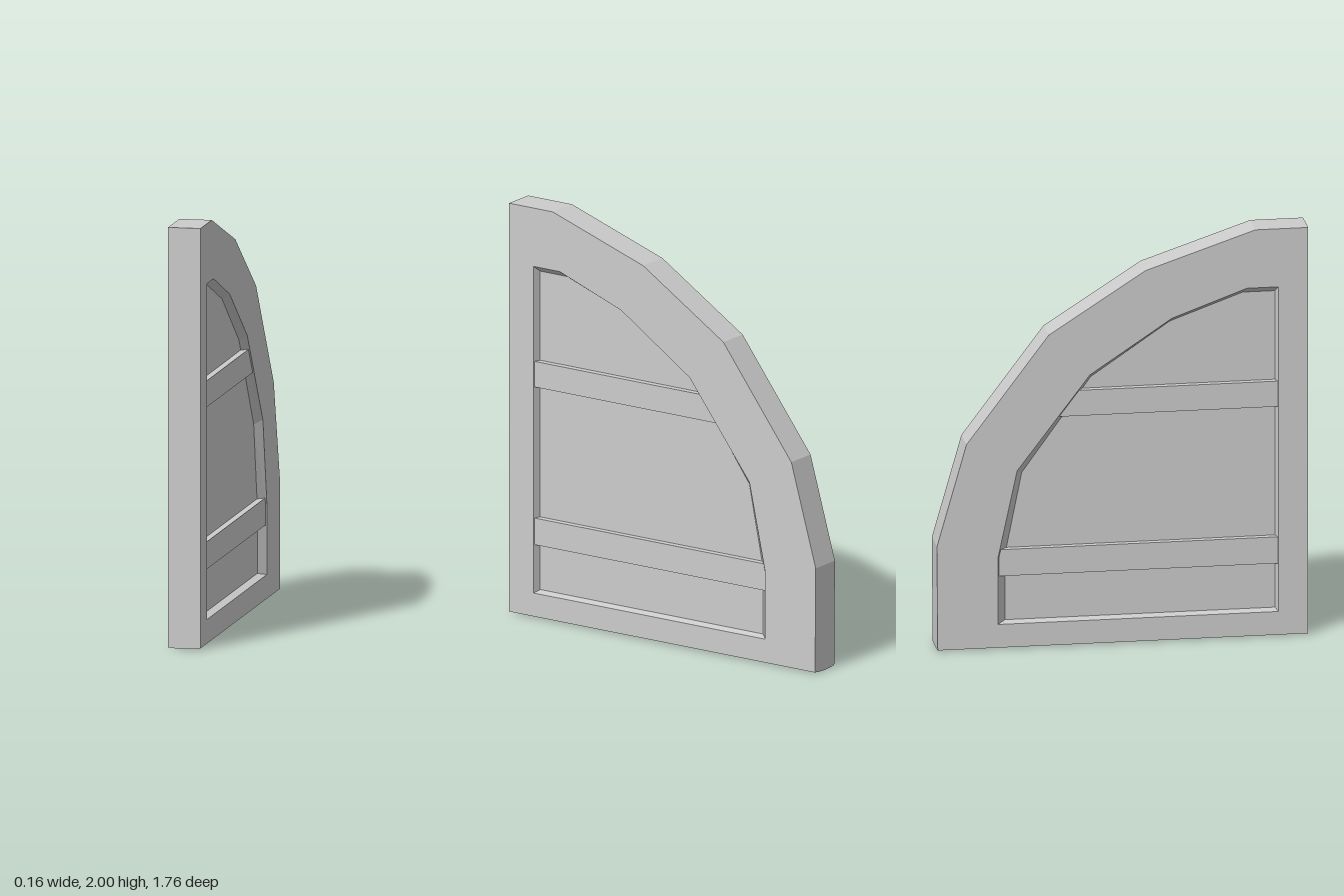
import * as THREE from 'three';

const HALF = 0.078;    // half thickness of the frame
const PANEL = 0.04;    // half thickness of the recessed panel
const STRAP = 0.072;   // half thickness of the cross battens

// Outlines as [z, y], starting at the bottom of the hinge side
const OUTER = [[0.88, 0.006], [0.88, 2], [0.63, 2], [0.11, 1.825], [-0.35, 1.53], [-0.74, 1.01], [-0.88, 0.515], [-0.876, 0.006]];
const OPENING = [[0.74, 0.12], [0.74, 1.715], [0.59, 1.715], [0.235, 1.585], [-0.155, 1.325], [-0.5, 0.87], [-0.59, 0.45], [-0.59, 0.12]];
const RECESS = [[0.728, 0.13], [0.728, 1.685], [0.575, 1.685], [0.23, 1.56], [-0.145, 1.305], [-0.472, 0.85], [-0.552, 0.45], [-0.552, 0.13]];

// Closed flat-shaded skin between successive rings of equal point count
function loft(rings) {
  const pos = [];
  for (let k = 0; k < rings.length - 1; k++) {
    const n = rings[k].length;
    for (let i = 0; i < n; i++) {
      const j = (i + 1) % n;
      const [a, b, c, d] = [rings[k][i], rings[k][j], rings[k + 1][j], rings[k + 1][i]];
      pos.push(...a, ...b, ...c, ...a, ...c, ...d);
    }
  }
  const g = new THREE.BufferGeometry();
  g.setAttribute('position', new THREE.Float32BufferAttribute(pos, 3));
  g.computeVertexNormals();
  return g;
}

export function createModel() {
  const group = new THREE.Group();
  const material = new THREE.MeshStandardMaterial({ color: 0xcccccc, flatShading: true });
  const add = (name, geometry) => {
    const mesh = new THREE.Mesh(geometry, material);
    mesh.name = name;
    group.add(mesh);
    return mesh;
  };
  const ring = (outline, x) => outline.map(([z, y]) => [x, y, z]);

  // Arched frame, with bevelled openings and a faintly bowed bottom edge
  const rim = [1, 0.5, 0, -0.5, -1].map((t) =>
    OUTER.map(([z, y]) => [t * HALF, y < 0.1 ? y - 0.006 * (1 - t * t) : y, z]));
  add('frame', loft([
    ring(RECESS, PANEL), ring(OPENING, HALF), ...rim, ring(OPENING, -HALF), ring(RECESS, -PANEL),
  ]));

  // Recessed panel
  const shape = new THREE.Shape(RECESS.map(([z, y]) => new THREE.Vector2(-z, y)));
  const panel = new THREE.ExtrudeGeometry(shape, { depth: 2 * PANEL, bevelEnabled: false });
  add('panel', panel.translate(0, 0, -PANEL).rotateY(Math.PI / 2));

  // Cross battens, standing out on both sides with their ends inside the frame
  for (const [name, y0, y1, zEnd] of [['lowerBatten', 0.355, 0.485, -0.62], ['upperBatten', 1.125, 1.25, -0.34]]) {
    const zStart = 0.76;
    add(name, new THREE.BoxGeometry(2 * STRAP, y1 - y0, zStart - zEnd))
      .position.set(0, (y0 + y1) / 2, (zStart + zEnd) / 2);
  }

  return group;
}
